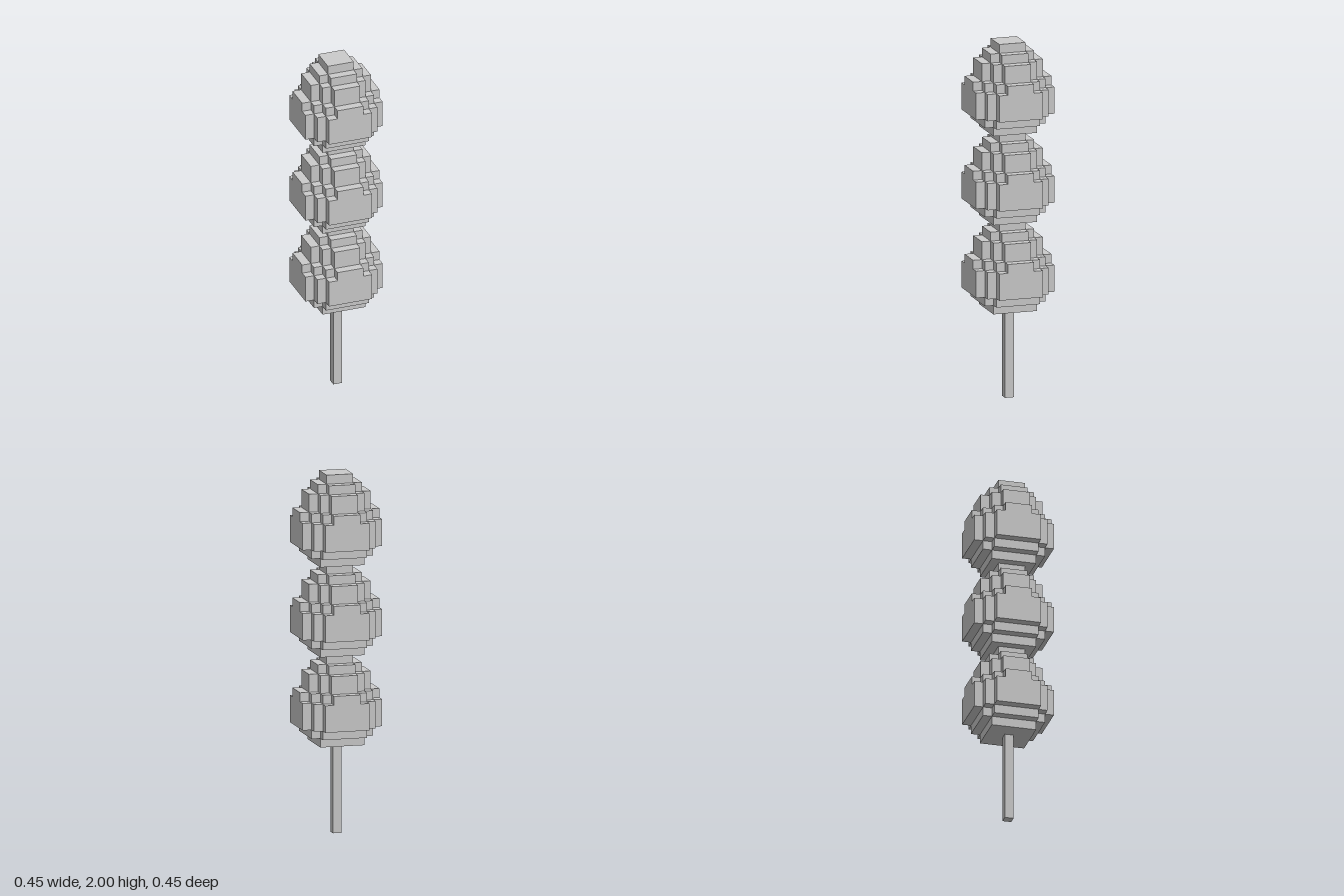
import * as THREE from 'three';

// Each layer: bottom, top, and the outer corners of its stepped plan in one quadrant
const LAYERS = [
  [0, 0.05, [[0.125, 0.125]]],
  [0.05, 0.1, [[0.175, 0.125], [0.125, 0.175]]],
  [0.1, 0.25, [[0.225, 0.125], [0.175, 0.175], [0.125, 0.225]]],
  [0.25, 0.3, [[0.225, 0.075], [0.175, 0.125], [0.125, 0.175], [0.075, 0.225]]],
  [0.3, 0.4, [[0.175, 0.075], [0.125, 0.125], [0.075, 0.175]]],
  [0.4, 0.45, [[0.125, 0.075], [0.075, 0.125]]],
  [0.45, 0.5, [[0.075, 0.075]]],
];

// Staircase outline of one quadrant, turned four times into a closed plan
function steppedPlan(corners) {
  const quadrant = [];
  corners.forEach(([x, z], i) => {
    if (i > 0) quadrant.push(new THREE.Vector2(x, corners[i - 1][1]));
    quadrant.push(new THREE.Vector2(x, z));
  });
  const points = [];
  const centre = new THREE.Vector2();
  for (let q = 0; q < 4; q++) {
    for (const p of quadrant) points.push(p.clone().rotateAround(centre, q * Math.PI / 2));
  }
  return new THREE.Shape(points);
}

function layerGeometry([bottom, top, corners]) {
  const geometry = new THREE.ExtrudeGeometry(steppedPlan(corners), {
    depth: top - bottom, bevelEnabled: false,
  });
  return geometry.rotateX(-Math.PI / 2).translate(0, bottom, 0);
}

export function createModel() {
  const model = new THREE.Group();
  model.name = 'skeweredDumplings';
  const material = new THREE.MeshStandardMaterial({ color: 0xcccccc, flatShading: true });

  // Square stick
  const stick = new THREE.Mesh(new THREE.BoxGeometry(0.05, 0.5, 0.05), material);
  stick.name = 'stick';
  stick.position.y = 0.25;
  model.add(stick);

  // Three identical blocky dumplings stacked on the stick
  const geometries = LAYERS.map(layerGeometry);
  ['lowerDumpling', 'middleDumpling', 'upperDumpling'].forEach((name, i) => {
    const dumpling = new THREE.Group();
    dumpling.name = name;
    dumpling.position.y = 0.5 + i * 0.5;
    geometries.forEach((geometry, j) => {
      const layer = new THREE.Mesh(geometry, material);
      layer.name = `dumplingLayer${j + 1}`;
      dumpling.add(layer);
    });
    model.add(dumpling);
  });

  return model;
}
